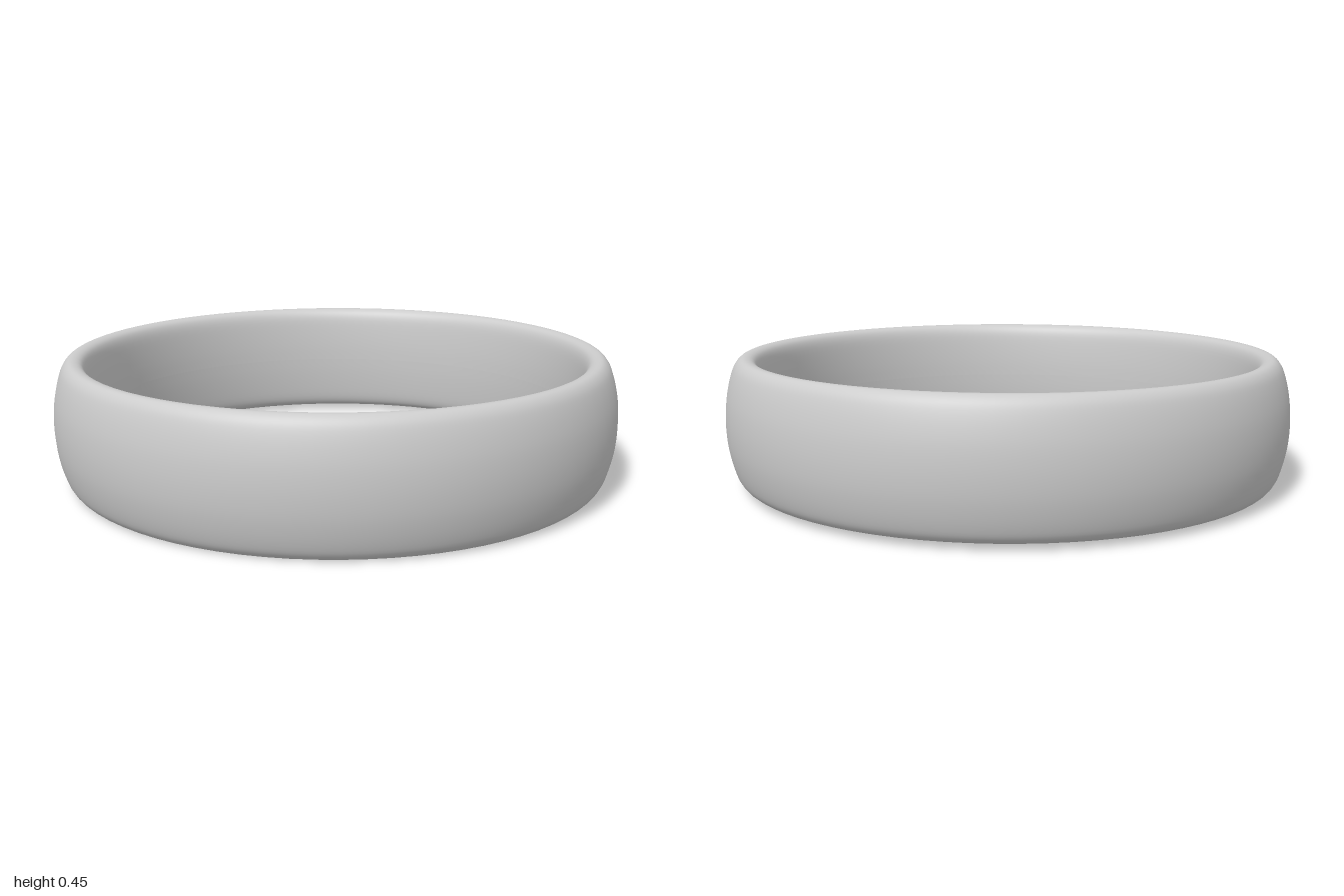
import * as THREE from 'three';

export function createModel() {
  const group = new THREE.Group();
  group.name = 'ring';

  // Upper half of the band section, from the domed outside over the rim to the inside
  const half = [
    [1, 0], [0.996, 0.07], [0.985, 0.13], [0.971, 0.176], [0.958, 0.2],
    [0.942, 0.214], [0.925, 0.217], [0.906, 0.212], [0.892, 0.198],
    [0.882, 0.168], [0.875, 0.11], [0.871, 0.05], [0.87, 0],
  ];
  // Mirror it below and walk the closed loop, starting and ending mid inside
  const lower = half.slice(1).reverse().map(([r, y]) => [r, -y]);
  const loop = [...lower, ...half].map(([r, y]) => new THREE.Vector2(r, y));
  const section = new THREE.SplineCurve(loop).getPoints(72);

  const band = new THREE.Mesh(
    new THREE.LatheGeometry(section, 80),
    new THREE.MeshStandardMaterial({ color: 0xcccccc })
  );
  band.name = 'band';
  // The band leans very slightly towards the front
  band.rotation.x = 0.0106;
  band.position.y = 0.227;
  group.add(band);

  return group;
}
